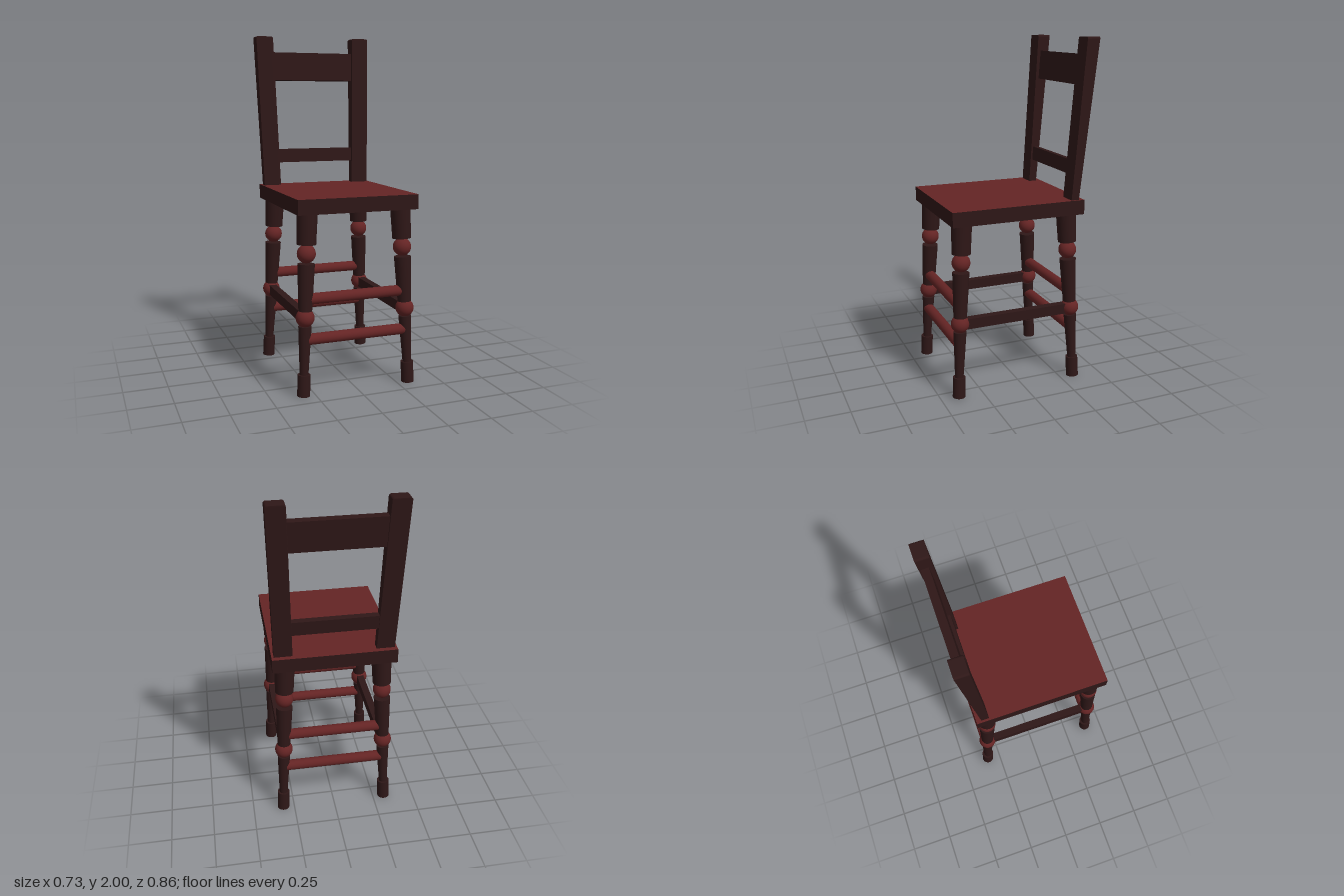
import * as THREE from 'three';
import { RoundedBoxGeometry } from 'three/addons/geometries/RoundedBoxGeometry.js';

const dark = new THREE.MeshStandardMaterial({ color: 0x2e1717 });
const red = new THREE.MeshStandardMaterial({ color: 0x642424 });

function add(parent, name, geometry, material, x = 0, y = 0, z = 0) {
  const mesh = new THREE.Mesh(geometry, material);
  mesh.name = name;
  mesh.position.set(x, y, z);
  parent.add(mesh);
  return mesh;
}

// Leg centre line at height y; legs splay outward toward the floor
const legX = (y) => 0.317 - 0.039 * y;
const legZ = (y, front) => (front ? 0.395 - 0.043 * y : -0.332 + 0.045 * y);

// Turned pieces of a leg: [name, bottom y, top y, bottom radius, top radius]
const turnings = [
  ['foot', 0, 0.12, 0.036, 0.036],
  ['lowerTaper', 0.11, 0.39, 0.024, 0.037],
  ['middleTurning', 0.475, 0.735, 0.038, 0.048],
  ['upperTurning', 0.84, 1.02, 0.053, 0.058],
];

function buildLeg(side, front) {
  const leg = new THREE.Group();
  leg.name = (front ? 'front' : 'back') + (side > 0 ? 'Left' : 'Right') + 'Leg';
  const at = (y) => new THREE.Vector3(side * legX(y), y, legZ(y, front));
  const up = new THREE.Vector3(0, 1, 0);
  for (const [name, y0, y1, r0, r1] of turnings) {
    const a = at(y0), b = at(y1);
    const mesh = add(leg, name, new THREE.CylinderGeometry(r1, r0, a.distanceTo(b), 32), dark);
    mesh.position.copy(a).lerp(b, 0.5);
    mesh.quaternion.setFromUnitVectors(up, b.sub(a).normalize());
  }
  // Round beads between the turnings
  for (const y of [0.437, 0.79]) {
    add(leg, 'bead', new THREE.SphereGeometry(0.052, 32, 20), red).position.copy(at(y));
  }
  return leg;
}

// Back post: leans backward and outward, growing deeper toward the top
function buildPost(side) {
  const y0 = 1.06, y1 = 2;
  const geometry = new RoundedBoxGeometry(0.104, y1 - y0, 1, 3, 0.012);
  const p = geometry.attributes.position;
  for (let i = 0; i < p.count; i++) {
    const t = p.getY(i) / (y1 - y0) + 0.5;
    const depth = 0.046 + 0.032 * t;
    p.setXYZ(i, p.getX(i) + side * (0.287 + 0.025 * t), y0 + t * (y1 - y0),
      p.getZ(i) * depth - 0.309 - 0.082 * t);
  }
  geometry.computeVertexNormals();
  const mesh = new THREE.Mesh(geometry, dark);
  mesh.name = side > 0 ? 'leftBackPost' : 'rightBackPost';
  return mesh;
}

export function createModel() {
  const chair = new THREE.Group();
  chair.name = 'chair';

  // Seat slab with a red upper face
  add(chair, 'seat', new THREE.BoxGeometry(0.706, 0.084, 0.792),
    [dark, dark, red, dark, dark, dark], 0, 1.053, 0.031);

  for (const side of [-1, 1]) {
    for (const front of [true, false]) chair.add(buildLeg(side, front));
    chair.add(buildPost(side));
    // Side stretcher between the lower beads
    const y = 0.435;
    const zf = legZ(y, true), zb = legZ(y, false);
    add(chair, 'sideStretcher', new THREE.BoxGeometry(0.044, 0.06, zf - zb),
      dark, side * legX(y), y, (zf + zb) / 2);
  }

  // Round rungs across the front and the back
  for (const front of [true, false]) {
    for (const y of [0.314, 0.539]) {
      add(chair, front ? 'frontRung' : 'backRung',
        new THREE.CylinderGeometry(0.031, 0.031, 2 * legX(y) - 0.03, 32),
        red, 0, y, legZ(y, front)).rotation.z = Math.PI / 2;
    }
  }

  // Back rails, tilted with the posts
  for (const [name, y, height, depth, z] of [
    ['topRail', 1.82, 0.17, 0.042, -0.381],
    ['lowerRail', 1.272, 0.083, 0.036, -0.331],
  ]) {
    add(chair, name, new THREE.BoxGeometry(0.55, height, depth), dark, 0, y, z).rotation.x = -0.088;
  }
  return chair;
}
